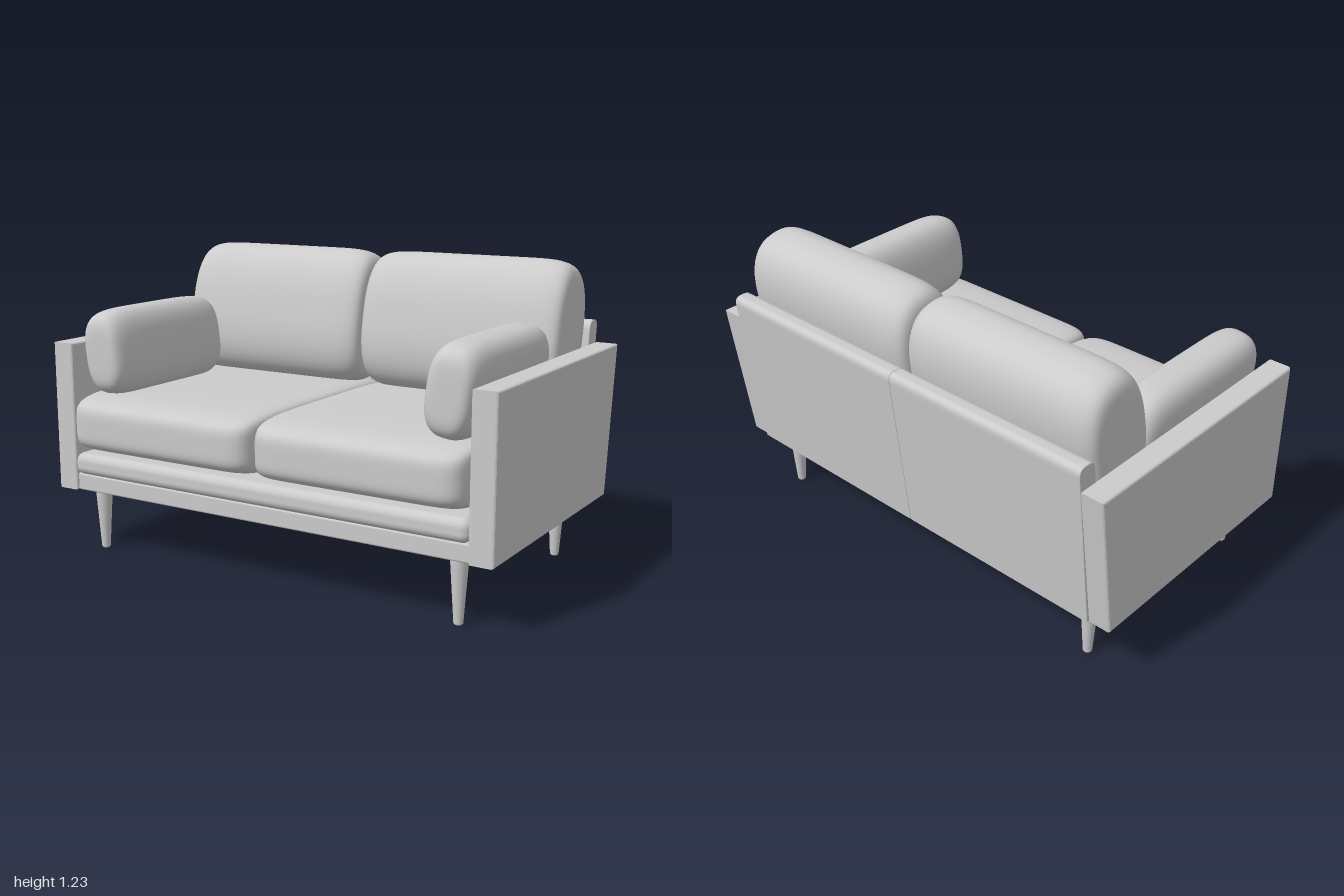
import * as THREE from 'three';
import { mergeVertices } from 'three/addons/utils/BufferGeometryUtils.js';
import { RoundedBoxGeometry } from 'three/addons/geometries/RoundedBoxGeometry.js';

const material = new THREE.MeshStandardMaterial({ color: 0xcccccc });

function add(parent, name, geometry, x = 0, y = 0, z = 0) {
  const mesh = new THREE.Mesh(geometry, material);
  mesh.name = name;
  mesh.position.set(x, y, z);
  parent.add(mesh);
  return mesh;
}

// Stuffed cushion: a cube pulled onto a rounded form running along x.
// "section" squares off the y-z section, "ends" squares off the two ends.
function cushion(hx, hy, hz, section, ends) {
  let geo = new THREE.BoxGeometry(2, 2, 2, 28, 28, 28);
  geo.deleteAttribute('uv');
  geo.deleteAttribute('normal');
  geo = mergeVertices(geo);
  const p = geo.attributes.position;
  for (let i = 0; i < p.count; i++) {
    const [u, v, w] = [p.getX(i), p.getY(i), p.getZ(i)];
    const ring = (Math.abs(v) ** section + Math.abs(w) ** section) ** (1 / section);
    const n = (ring ** ends + Math.abs(u) ** ends) ** (1 / ends);
    p.setXYZ(i, (u / n) * hx, (v / n) * hy, (w / n) * hz);
  }
  geo.computeVertexNormals();
  return geo;
}

// Side profile given in (z, y), extruded along x and centred on x = 0.
function slab(shape, width, bevel) {
  const geo = new THREE.ExtrudeGeometry(shape, {
    depth: width - 2 * bevel, bevelThickness: bevel, bevelSize: bevel,
    bevelOffset: -bevel, bevelSegments: 3, curveSegments: 8,
  });
  geo.translate(0, 0, -(width - 2 * bevel) / 2);
  geo.rotateY(-Math.PI / 2);
  return geo;
}

export function createModel() {
  const sofa = new THREE.Group();
  sofa.name = 'sofa';

  // Arm panel with a raked rear edge
  const armShape = new THREE.Shape([
    [0.56, 0.26], [0.56, 0.88], [-0.61, 0.88], [-0.53, 0.26],
  ].map(([z, y]) => new THREE.Vector2(z, y)));

  // Leaning back panel with a rounded top
  const backShape = new THREE.Shape();
  backShape.moveTo(-0.54, 0.26);
  backShape.lineTo(-0.617, 0.935);
  backShape.quadraticCurveTo(-0.622, 0.975, -0.59, 0.975);
  backShape.lineTo(-0.57, 0.975);
  backShape.quadraticCurveTo(-0.538, 0.975, -0.534, 0.935);
  backShape.lineTo(-0.47, 0.26);

  const arm = slab(armShape, 0.1, 0.01);
  const back = slab(backShape, 0.904, 0.003);
  const seat = cushion(0.446, 0.125, 0.56, 5, 12);
  const backCushion = cushion(0.445, 0.29, 0.168, 2.5, 9);
  const bolster = cushion(0.36, 0.18, 0.105, 2.8, 6).rotateY(Math.PI / 2);

  // Tapered round leg with a softened foot
  const leg = new THREE.LatheGeometry([
    [0, 0], [0.013, 0], [0.018, 0.006], [0.034, 0.24], [0.034, 0.265], [0, 0.265],
  ].map(([r, y]) => new THREE.Vector2(r, y)), 24);

  for (const s of [1, -1]) {
    const side = s > 0 ? 'left' : 'right';
    add(sofa, side + 'Arm', arm, s * 0.95);
    add(sofa, side + 'BackPanel', back, s * 0.4525);
    add(sofa, side + 'SeatCushion', seat, s * 0.447, 0.552, 0.055);
    add(sofa, side + 'BackCushion', backCushion, s * 0.449, 0.945, -0.37).rotation.x = -0.2;
    add(sofa, side + 'ArmCushion', bolster, s * 0.785, 0.838, 0.165).rotation.z = -s * 0.13;
    add(sofa, side + 'FrontLeg', leg, s * 0.83, 0, 0.475);
    add(sofa, side + 'BackLeg', leg, s * 0.83, 0, -0.43);
    // Plate that carries the rear leg
    add(sofa, side + 'LegPlate', new THREE.BoxGeometry(0.12, 0.02, 0.13), s * 0.845, 0.272, -0.44);
  }

  // Front rails below the seat; the underside behind them stays open
  add(sofa, 'lowerFrontRail', new RoundedBoxGeometry(1.81, 0.072, 0.3, 3, 0.008), 0, 0.296, 0.4);
  add(sofa, 'upperFrontRail', new RoundedBoxGeometry(1.81, 0.092, 0.31, 5, 0.035), 0, 0.376, 0.415);

  return sofa;
}
